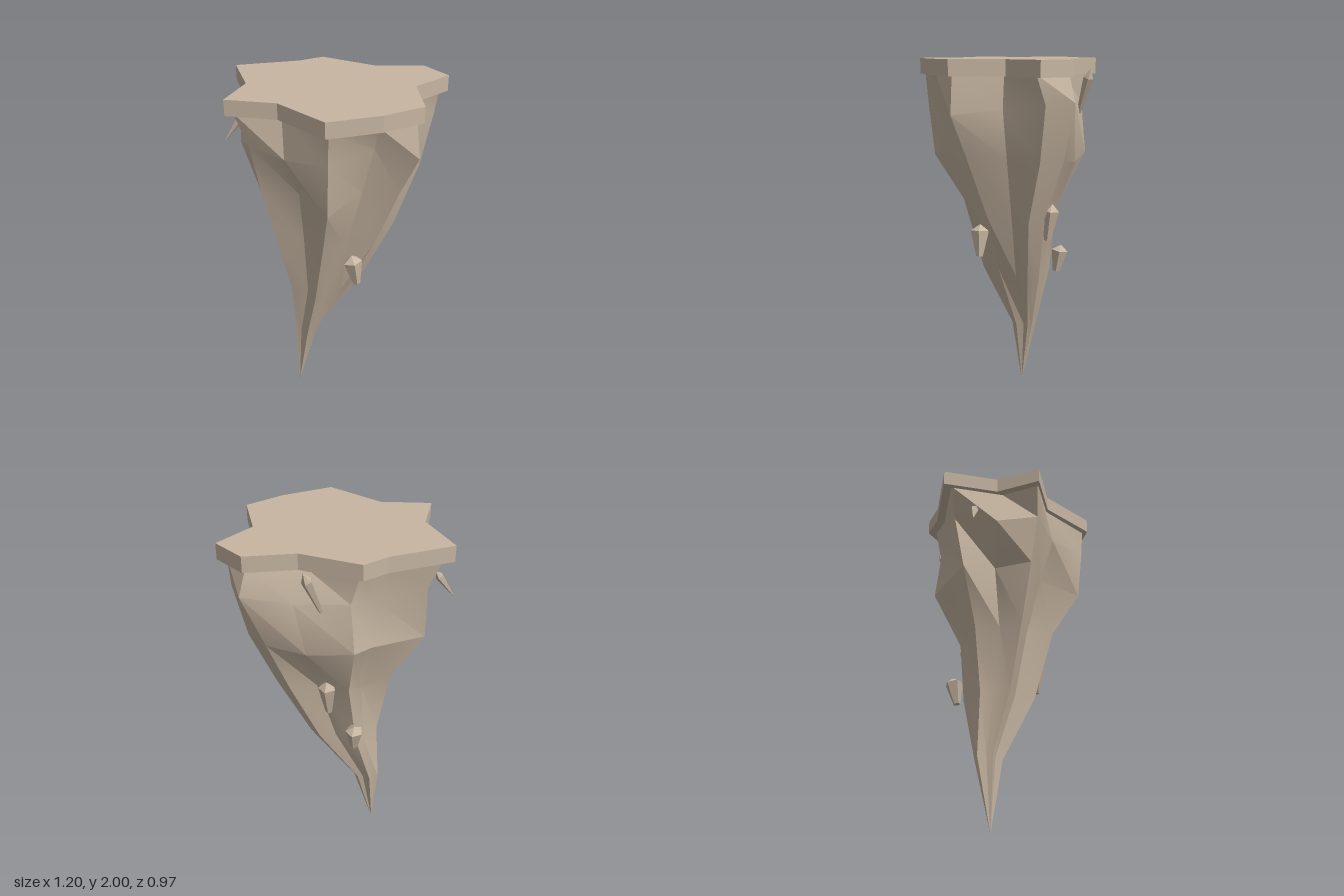
import * as THREE from 'three';
import { toCreasedNormals } from 'three/addons/utils/BufferGeometryUtils.js';

// Star-like slab outline as [x, z], clockwise from the back right corner
const SLAB = [
  [-0.485, -0.44], [-0.13, -0.445], [0.01, -0.485], [0.26, -0.27], [0.52, -0.215], [0.6, -0.03],
  [0.38, 0.1], [0.34, 0.385], [0.115, 0.455], [-0.17, 0.48], [-0.35, 0.19], [-0.6, 0.085], [-0.465, -0.13],
];

// Rock sections: height, x range, z range, and single corners moved to [x, y, z]
const RINGS = [
  { y: 1.93, x: [-0.56, 0.55], z: [-0.44, 0.45], moved: { 4: [0.5, 1.93, -0.2], 9: [-0.15, 1.93, 0.455] } },
  {
    y: 1.75, x: [-0.49, 0.545], z: [-0.4, 0.44],
    moved: {
      3: [0.3, 1.75, -0.295], 4: [0.545, 1.79, -0.22], 5: [0.545, 1.78, -0.07], 7: [0.33, 1.72, 0.375],
      8: [0.1, 1.79, 0.36], 9: [-0.15, 1.75, 0.44], 10: [-0.33, 1.71, 0.22], 12: [-0.51, 1.68, -0.14],
    },
  },
  {
    y: 1.48, x: [-0.44, 0.475], z: [-0.43, 0.41],
    moved: {
      0: [-0.42, 1.43, -0.31], 3: [0.24, 1.45, -0.31], 4: [0.42, 1.48, -0.2], 5: [0.475, 1.48, -0.06],
      7: [0.26, 1.5, 0.29], 8: [0.06, 1.52, 0.28], 9: [-0.15, 1.46, 0.41],
    },
  },
  {
    y: 1.14, x: [-0.36, 0.33], z: [-0.27, 0.23],
    moved: { 0: [-0.27, 1.14, -0.22], 7: [0.17, 1.14, 0.16], 8: [0.0, 1.14, 0.18], 9: [-0.14, 1.2, 0.25] },
  },
  {
    y: 0.77, x: [-0.28, 0.145], z: [-0.25, 0.13],
    moved: { 0: [-0.22, 0.77, -0.18], 7: [0.0, 0.8, 0.07], 8: [-0.11, 0.77, 0.1], 9: [-0.17, 0.77, 0.13] },
  },
  { y: 0.4, x: [-0.25, -0.11], z: [-0.2, -0.05], moved: { 9: [-0.19, 0.4, -0.05] } },
  { y: 0, x: [-0.236, -0.234], z: [-0.121, -0.119] },
];

function rockGeometry() {
  const n = SLAB.length;
  const positions = [];
  const index = [];
  for (const ring of RINGS) {
    SLAB.forEach(([u, w], i) => {
      const x = THREE.MathUtils.mapLinear(u, -0.6, 0.6, ...ring.x);
      const z = THREE.MathUtils.mapLinear(w, -0.485, 0.48, ...ring.z);
      positions.push(...(ring.moved?.[i] ?? [x, ring.y, z]));
    });
  }
  for (let r = 0; r < RINGS.length - 1; r++) {
    for (let i = 0; i < n; i++) {
      const a = r * n + i;
      const b = r * n + ((i + 1) % n);
      index.push(a, b, a + n, b, b + n, a + n);
    }
  }
  const geometry = new THREE.BufferGeometry();
  geometry.setAttribute('position', new THREE.Float32BufferAttribute(positions, 3));
  geometry.setIndex(index);
  return toCreasedNormals(geometry, 0.45);
}

function slabGeometry() {
  const shape = new THREE.Shape(SLAB.map(([x, z]) => new THREE.Vector2(x, -z)));
  const geometry = new THREE.ExtrudeGeometry(shape, { depth: 0.085, bevelEnabled: false });
  return geometry.rotateX(-Math.PI / 2).translate(0, 1.915, 0);
}

// Five-sided splinter with a blunt thick end and a narrow end
function shardGeometry(thick, thin, radius, thinRadius) {
  const from = new THREE.Vector3(...thin);
  const axis = new THREE.Vector3(...thick).sub(from);
  const length = axis.length();
  const profile = [[0, 0], [thinRadius, 0], [radius, length * 0.8], [0, length]];
  const geometry = new THREE.LatheGeometry(profile.map(([r, y]) => new THREE.Vector2(r, y)), 5);
  const turn = new THREE.Quaternion().setFromUnitVectors(new THREE.Vector3(0, 1, 0), axis.normalize());
  geometry.applyQuaternion(turn).translate(from.x, from.y, from.z);
  return toCreasedNormals(geometry, 0.2);
}

export function createModel() {
  const group = new THREE.Group();
  group.name = 'hangingRock';
  const stone = new THREE.MeshStandardMaterial({ color: 0xc6b5a1 });
  stone.name = 'stone';

  const add = (name, geometry) => {
    const mesh = new THREE.Mesh(geometry, stone);
    mesh.name = name;
    group.add(mesh);
  };

  add('taperedRock', rockGeometry());
  add('topSlab', slabGeometry());

  // Loose splinters around the rock: thick end, thin end, two radii
  add('frontShard', shardGeometry([0.03, 1.08, 0.18], [0.06, 0.9, 0.19], 0.055, 0.02));
  add('rightShard', shardGeometry([-0.48, 1.78, -0.26], [-0.585, 1.63, -0.28], 0.022, 0.002));
  add('upperBackShard', shardGeometry([0.27, 1.95, -0.38], [0.17, 1.71, -0.345], 0.028, 0.012));
  add('middleBackShard', shardGeometry([0.1, 1.2, -0.22], [0.08, 0.98, -0.2], 0.05, 0.02));
  add('lowerBackShard', shardGeometry([-0.03, 0.92, -0.31], [-0.04, 0.76, -0.285], 0.05, 0.02));
  return group;
}
